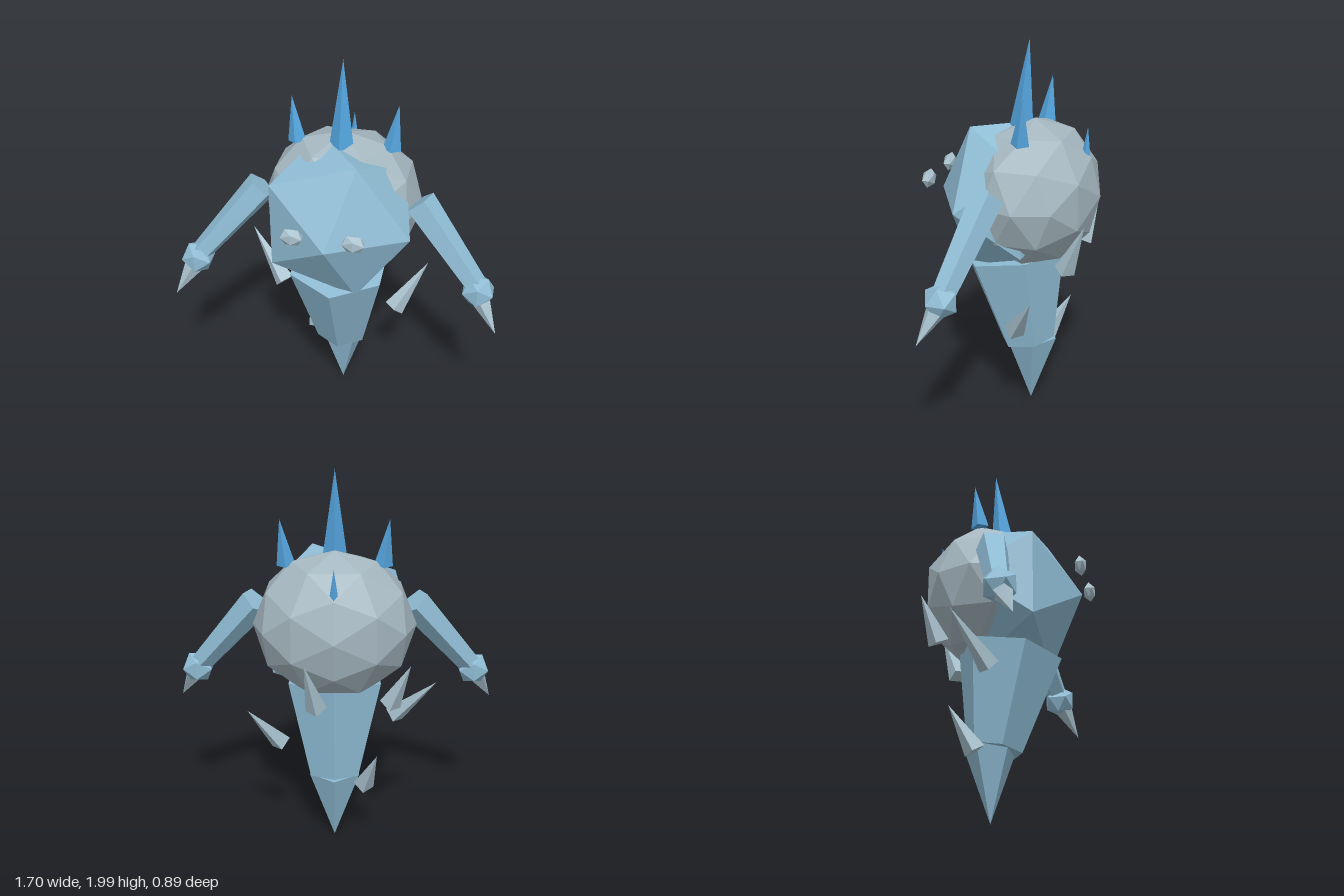
import * as THREE from 'three';

const material = (name, color) => new THREE.MeshStandardMaterial({ name, color, flatShading: true });

export function createModel() {
  const model = new THREE.Group();
  model.name = 'iceCreature';
  const ice = material('ice blue', 0x8fbcd4);
  const rock = material('frosted grey', 0xa5b7c0);
  const pale = material('pale frost', 0xa9c2ce);
  const spikeBlue = material('spike blue', 0x55a6e0);

  const add = (name, geometry, mat, pos = [0, 0, 0], parent = model) => {
    const mesh = new THREE.Mesh(geometry, mat);
    mesh.name = name;
    mesh.position.set(...pos);
    parent.add(mesh);
    return mesh;
  };

  // Tapered prism running from one point to another
  const taper = (name, from, to, r0, r1, sides, mat, parent = model) => {
    const a = new THREE.Vector3(...from), b = new THREE.Vector3(...to);
    const dir = b.clone().sub(a);
    const mid = a.clone().add(b).multiplyScalar(0.5);
    const mesh = add(name, new THREE.CylinderGeometry(r1, r0, dir.length(), sides), mat, mid.toArray(), parent);
    mesh.quaternion.setFromUnitVectors(new THREE.Vector3(0, 1, 0), dir.normalize());
    return mesh;
  };

  // Rounded back shell
  add('backShell', new THREE.IcosahedronGeometry(1, 1).scale(0.415, 0.38, 0.345), rock, [0, 1.22, -0.1]);

  // Faceted head: a twenty-sided solid with one corner pointing forward
  const head = new THREE.IcosahedronGeometry(1, 0);
  const phi = (1 + Math.sqrt(5)) / 2;
  head.rotateX(Math.atan2(1, phi)); // corner (0, 1, phi) turns to +z
  head.rotateZ(-Math.PI / 2); // a ring corner turns to +x
  const ring = head.attributes.position;
  let sideX = 0;
  for (let i = 0; i < ring.count; i++) {
    if (ring.getZ(i) > 0.3 && ring.getZ(i) < 0.6) sideX = Math.max(sideX, ring.getX(i));
  }
  if (sideX < 0.88) head.rotateZ(Math.PI); // choose the turn with the corner on the left side
  head.scale(0.437, 0.437, 0.36);
  add('head', head, ice, [0, 1.19, 0.04]);

  // Lower body and pointed tail
  const torso = add('lowerBody', new THREE.CylinderGeometry(0.275, 0.145, 0.515, 6), ice, [0, 0.626, -0.03]);
  torso.rotation.x = 0.155;
  const tail = add('tail', new THREE.ConeGeometry(0.138, 0.385, 5), ice, [0, 0.1935, -0.088]);
  tail.rotation.x = Math.PI;

  // Crown spikes
  taper('centreSpike', [0, 1.55, -0.03], [0, 1.995, -0.07], 0.062, 0, 4, spikeBlue);
  taper('backSpike', [0, 1.33, -0.36], [0, 1.575, -0.372], 0.037, 0, 4, spikeBlue);

  for (const s of [1, -1]) {
    const side = s > 0 ? 'left' : 'right';
    taper(side + 'Spike', [s * 0.242, 1.525, -0.095], [s * 0.27, 1.76, -0.117], 0.047, 0, 4, spikeBlue);

    // Eye
    add(side + 'Eye', new THREE.IcosahedronGeometry(1, 0).scale(0.062, 0.05, 0.034), pale, [s * 0.15, 1.28, 0.417]);

    // Arm, hand and claw
    const arm = new THREE.Group();
    arm.name = side + 'Arm';
    model.add(arm);
    taper('armBeam', [s * 0.405, 1.305, 0.015], [s * 0.735, 0.91, 0.13], 0.085, 0.058, 5, ice, arm);
    add('hand', new THREE.IcosahedronGeometry(0.09, 0), ice, [s * 0.74, 0.895, 0.135], arm);
    taper('claw', [s * 0.757, 0.86, 0.148], [s * 0.85, 0.7, 0.222], 0.055, 0, 5, pale, arm);
  }

  // Loose shards floating round the body: base, tip
  const shards = [
    [[-0.315, 0.69, -0.02], [-0.52, 0.93, -0.165]],
    [[0.285, 0.55, -0.08], [0.445, 0.785, -0.21]],
    [[-0.155, 0.325, -0.13], [-0.22, 0.55, -0.25]],
    [[-0.28, 0.86, -0.29], [-0.375, 1.09, -0.36]],
    [[0.09, 0.83, -0.29], [0.145, 1.1, -0.4]],
  ];
  shards.forEach(([base, tip], i) => taper('shard' + (i + 1), base, tip, 0.055, 0, 4, pale));

  return model;
}
